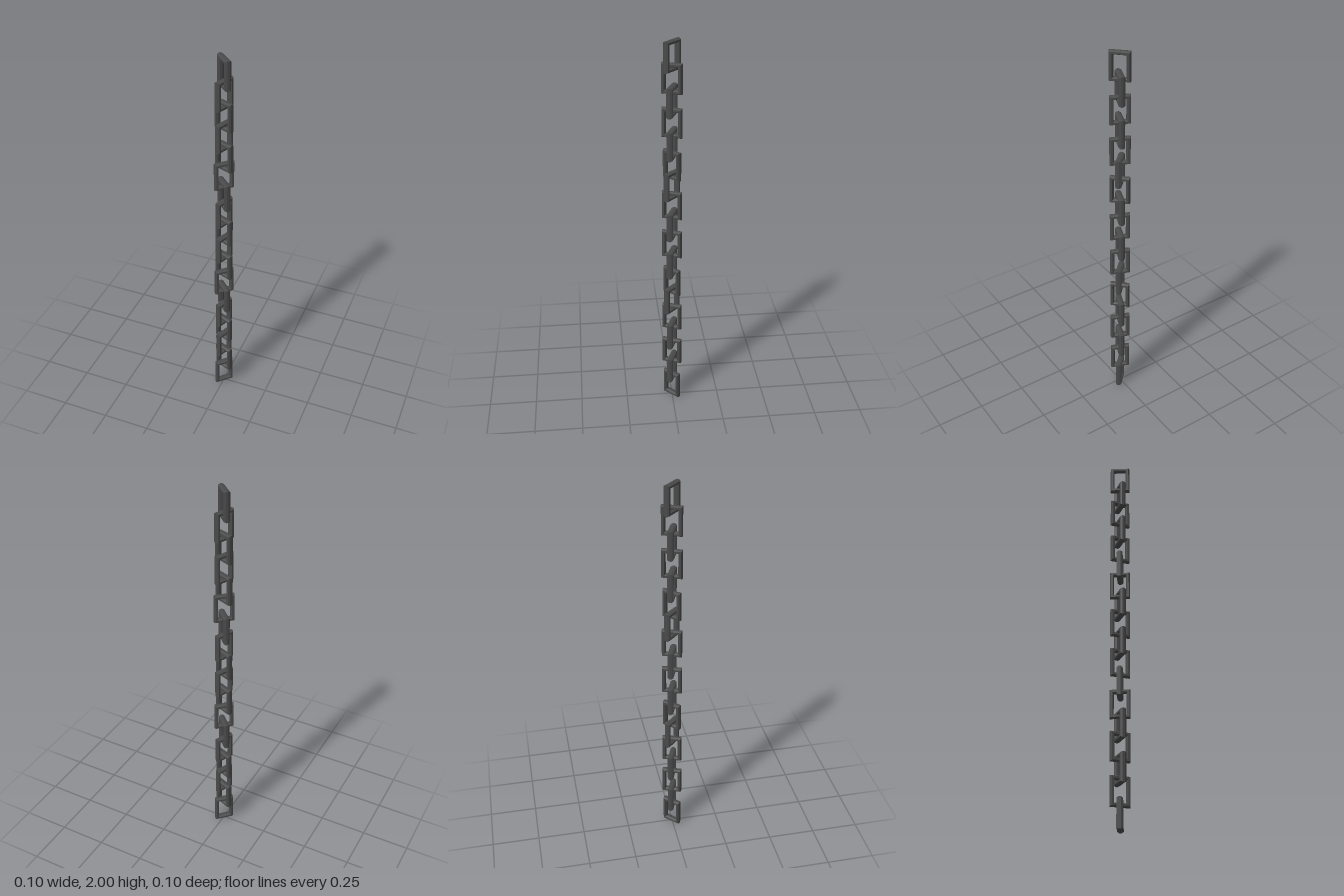
import * as THREE from 'three';

const LINKS = 18;
const LINK_H = 0.149;
const LINK_W = 0.102;
const BAR = 0.02;
const PITCH = (2 - LINK_H) / (LINKS - 1);
// Twist of each link about the vertical, repeating every six links
const TWIST = [45, 112, 22, 112, 22, 135];

// Chamfered bar section: [depth, outward offset]
const SECTION = [
  [-0.006, 0.01], [0.006, 0.01], [0.015, 0.005], [0.015, -0.005],
  [0.006, -0.01], [-0.006, -0.01], [-0.015, -0.005], [-0.015, 0.005],
];

// Rectangular ring: the section swept round four mitred corners
function linkGeometry() {
  const corners = [[1, 1], [-1, 1], [-1, -1], [1, -1]];
  const hw = (LINK_W - BAR) / 2;
  const hh = (LINK_H - BAR) / 2;
  const at = (i, j) => {
    const [sx, sy] = corners[i % 4];
    const [depth, out] = SECTION[j % SECTION.length];
    return [sx * (hw + out), sy * (hh + out), depth];
  };
  const positions = [];
  for (let i = 0; i < 4; i++) {
    for (let j = 0; j < SECTION.length; j++) {
      const a = at(i, j), b = at(i + 1, j), c = at(i, j + 1), d = at(i + 1, j + 1);
      positions.push(...a, ...b, ...c, ...b, ...d, ...c);
    }
  }
  const geometry = new THREE.BufferGeometry();
  geometry.setAttribute('position', new THREE.Float32BufferAttribute(positions, 3));
  geometry.computeVertexNormals();
  return geometry;
}

export function createModel() {
  const chain = new THREE.Group();
  chain.name = 'chain';
  const geometry = linkGeometry();
  const material = new THREE.MeshStandardMaterial({ color: 0x4a4a4a, flatShading: true });

  // Links from top to bottom
  for (let i = 0; i < LINKS; i++) {
    const link = new THREE.Mesh(geometry, material);
    link.name = `chainLink${i + 1}`;
    link.position.y = 2 - LINK_H / 2 - i * PITCH;
    link.rotation.y = -THREE.MathUtils.degToRad(TWIST[i % TWIST.length]);
    chain.add(link);
  }
  return chain;
}
